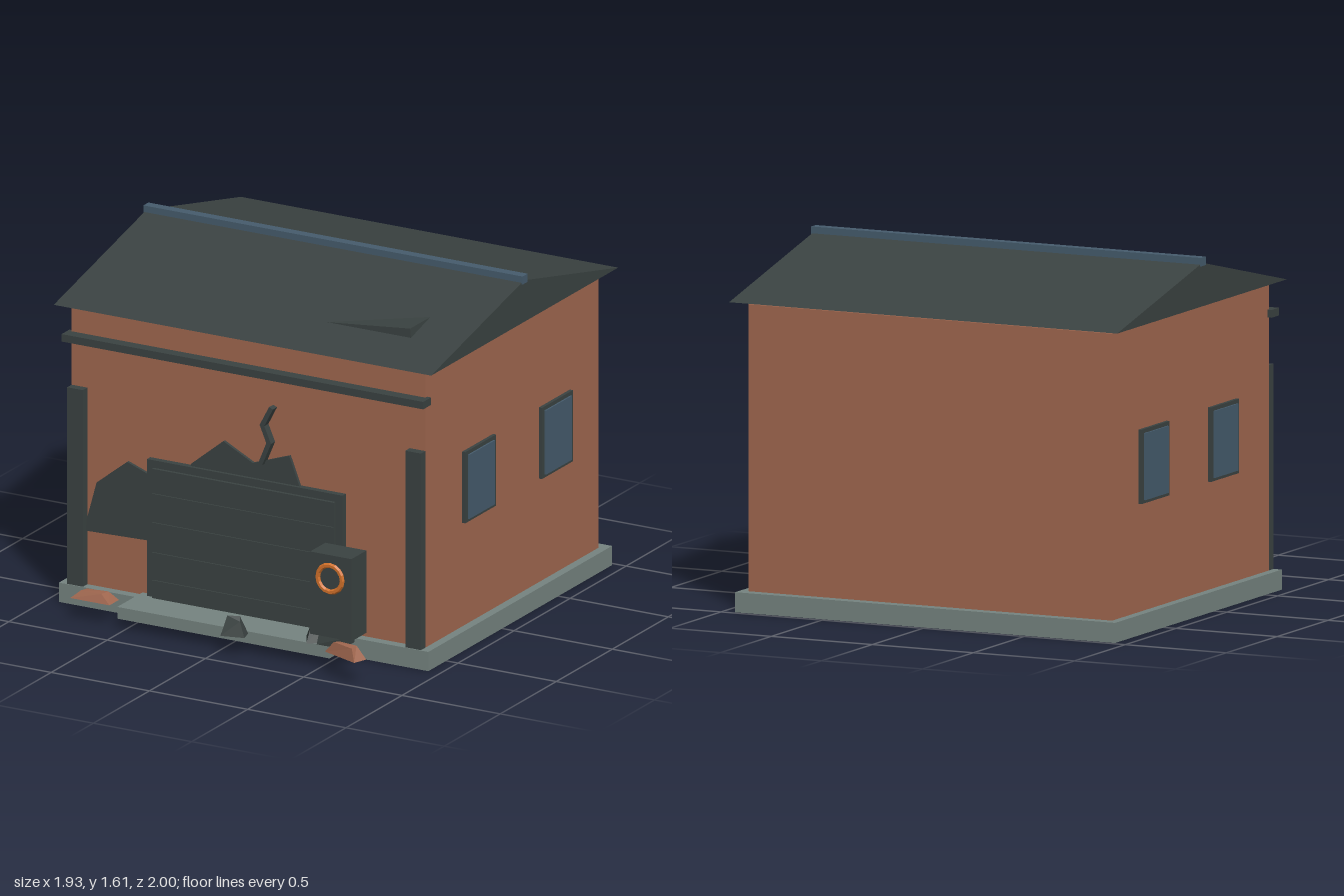
import * as THREE from 'three';

const mat = (name, color, opts = {}) => {
  const m = new THREE.MeshStandardMaterial({ color, ...opts });
  m.name = name;
  return m;
};

export function createModel() {
  const brick = mat('brick', 0xa0674f, { flatShading: true });
  const charcoal = mat('charcoal', 0x3a4241, { flatShading: true });
  const concrete = mat('concrete', 0x75837f, { flatShading: true });
  const slateBlue = mat('slateBlue', 0x455b6c, { flatShading: true });
  const orange = mat('orange', 0xd0702a, { flatShading: true });

  const model = new THREE.Group();
  model.name = 'damagedGarage';

  const add = (name, geometry, material, parent = model) => {
    const mesh = new THREE.Mesh(geometry, material);
    mesh.name = name;
    parent.add(mesh);
    return mesh;
  };
  // Box given by its extents on each axis
  const box = (name, material, [x0, x1], [y0, y1], [z0, z1], parent) => {
    const mesh = add(name, new THREE.BoxGeometry(x1 - x0, y1 - y0, z1 - z0), material, parent);
    mesh.position.set((x0 + x1) / 2, (y0 + y1) / 2, (z0 + z1) / 2);
    return mesh;
  };
  // Flat outline in the xy plane, extruded from z towards the front
  const plate = (name, material, points, z, depth) => {
    const shape = new THREE.Shape(points.map(([x, y]) => new THREE.Vector2(x, y)));
    const mesh = add(name, new THREE.ExtrudeGeometry(shape, { depth, bevelEnabled: false }), material);
    mesh.position.z = z;
    return mesh;
  };

  // Foundation, doorstep and walls
  box('foundation', concrete, [-0.94, 0.94], [0, 0.09], [-0.98, 0.66]);
  box('doorstep', concrete, [-0.54, 0.54], [0.045, 0.1], [0.6, 0.84]);
  box('walls', brick, [-0.9, 0.9], [0.09, 1.375], [-0.93, 0.615]);

  // Gabled roof: triangle profile swept along x
  const gable = new THREE.Shape([
    new THREE.Vector2(-0.67, 1.39), new THREE.Vector2(1, 1.39), new THREE.Vector2(0.16, 1.585),
  ]);
  const roof = new THREE.ExtrudeGeometry(gable, { depth: 1.92, bevelEnabled: false });
  roof.translate(0, 0, -0.96).rotateY(Math.PI / 2);
  add('roof', roof, charcoal);
  box('ridgeCap', slateBlue, [-0.965, 0.965], [1.572, 1.61], [-0.183, -0.138]);
  box('looseRoofPanel', charcoal, [-0.055, 0.715], [1.407, 1.453], [-0.35, 0.42]).rotation.z = 0.1;

  // Front trim
  box('frontBeam', charcoal, [-0.92, 0.92], [1.225, 1.26], [0.6, 0.67]);
  for (const s of [-1, 1]) {
    const post = box('cornerPost', charcoal, [0.82, 0.9], [0.09, 1.01], [0.61, 0.655]);
    post.position.x *= s;
  }

  // Roller door with thin slat ribs
  const door = new THREE.Group();
  door.name = 'rollerDoor';
  model.add(door);
  box('doorFrame', charcoal, [-0.5, 0.495], [0.09, 0.74], [0.61, 0.645], door);
  box('doorPanel', charcoal, [-0.465, 0.46], [0.1, 0.705], [0.645, 0.66], door);
  for (const y of [0.18, 0.31, 0.45, 0.585]) {
    box('doorRib', charcoal, [-0.463, 0.458], [y - 0.006, y + 0.006], [0.66, 0.667], door);
  }

  // Two windows on each side wall
  for (const s of [-1, 1]) {
    for (const z of [0.15, -0.535]) {
      const win = new THREE.Group();
      win.name = 'sideWindow';
      model.add(win);
      const frame = box('windowFrame', charcoal, [0.89, 0.916], [0.575, 0.908], [z - 0.138, z + 0.138], win);
      const glass = box('windowGlass', slateBlue, [0.916, 0.924], [0.59, 0.89], [z - 0.115, z + 0.115], win);
      frame.position.x *= s;
      glass.position.x *= s;
    }
  }

  // Scorch marks and wall crack
  plate('sideScorch', charcoal, [
    [-0.82, 0.345], [-0.45, 0.355], [-0.45, 0.645], [-0.61, 0.703], [-0.765, 0.58], [-0.815, 0.4],
  ], 0.61, 0.02);
  plate('upperScorch', charcoal, [
    [-0.29, 0.7], [0.28, 0.7], [0.265, 0.745], [0.215, 0.873], [0.03, 0.808], [-0.12, 0.885], [-0.285, 0.75],
  ], 0.61, 0.02);
  plate('wallCrack', charcoal, [
    [0.07, 0.822], [0.09, 0.815], [0.135, 0.922], [0.101, 1.0], [0.145, 1.085],
    [0.125, 1.093], [0.077, 1.002], [0.111, 0.922],
  ], 0.612, 0.04);

  // Control cabinet with ring
  box('controlCabinet', charcoal, [0.45, 0.66], [0.15, 0.535], [0.72, 0.855]);
  const ring = add('cabinetRing', new THREE.TorusGeometry(0.062, 0.012, 6, 16), orange);
  ring.position.set(0.555, 0.428, 0.862);

  // Rubble: tapered, slightly irregular chunks
  let seed = 7;
  const rand = () => (seed = (seed * 16807) % 2147483647) / 2147483647 - 0.5;
  const chunk = (name, material, [x, y, z], [w, h, d], turn, taper) => {
    const geo = new THREE.BoxGeometry(1, 1, 1);
    const pos = geo.attributes.position;
    const shifts = {};
    for (let i = 0; i < pos.count; i++) {
      const key = [pos.getX(i), pos.getY(i), pos.getZ(i)].join();
      const j = (shifts[key] ??= [rand() * 0.25, rand() * 0.5, rand() * 0.25]);
      const top = pos.getY(i) > 0;
      const k = top ? taper : 1;
      pos.setXYZ(i, (pos.getX(i) + (top ? j[0] : 0)) * k * w,
        (top ? 0.85 + j[1] * 0.6 : 0) * h, (pos.getZ(i) + (top ? j[2] : 0)) * k * d);
    }
    geo.computeVertexNormals();
    const mesh = add(name, geo, material);
    mesh.position.set(x, y, z);
    mesh.rotation.y = turn;
  };
  chunk('brickRubble', brick, [-0.68, 0.1, 0.797], [0.2, 0.04, 0.085], 0, 0.65);
  chunk('brickRubble', brick, [0.675, 0.11, 0.933], [0.2, 0.06, 0.07], -0.35, 0.55);
  chunk('darkRubble', charcoal, [0.08, 0.09, 0.883], [0.11, 0.095, 0.065], 0.25, 0.45);
  chunk('darkRubble', charcoal, [0.455, 0.1, 0.775], [0.12, 0.11, 0.11], 0.5, 0.4);
  chunk('darkRubble', charcoal, [0.54, 0.1, 0.785], [0.13, 0.05, 0.11], 0, 0.85);

  return model;
}
